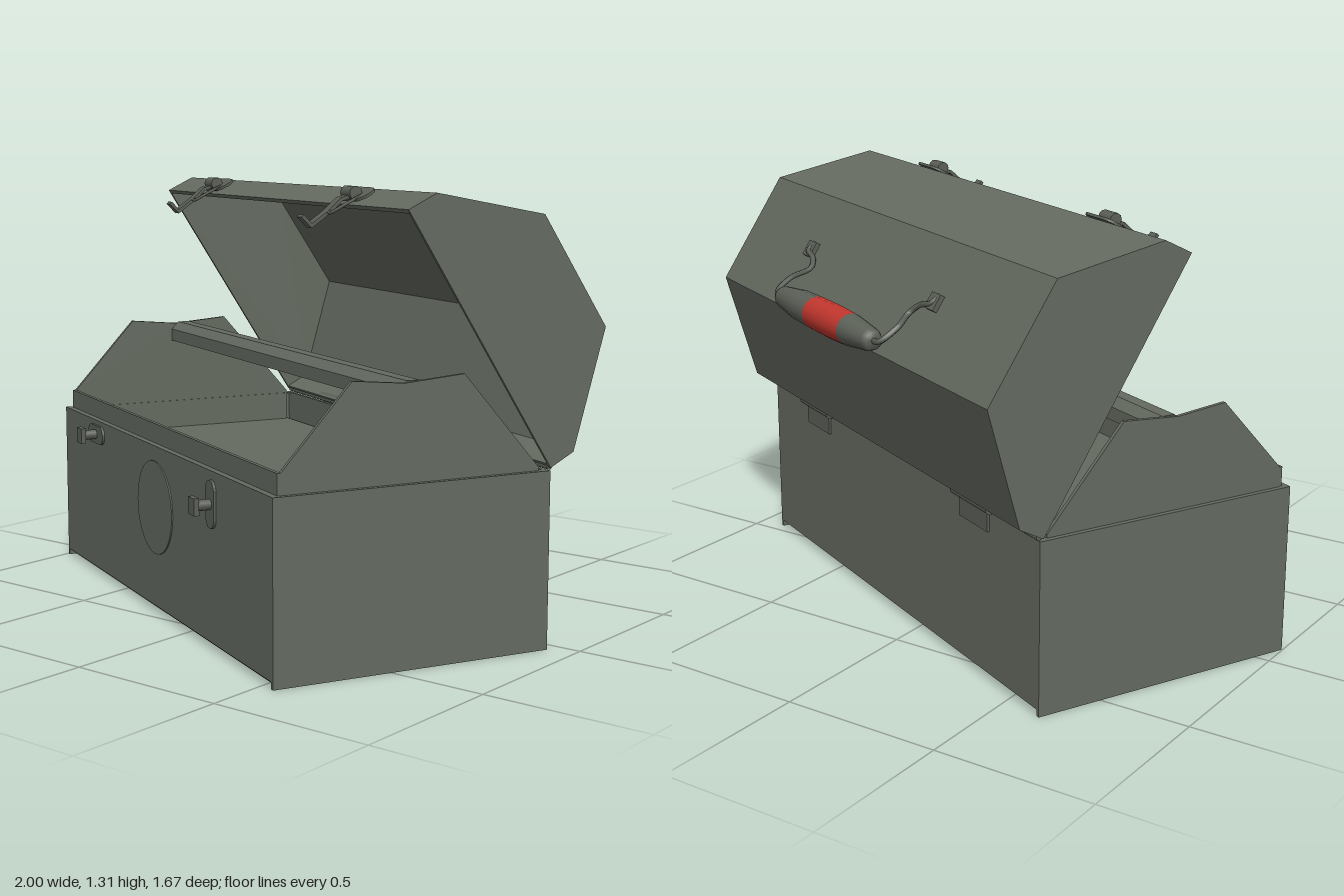
import * as THREE from 'three';

const paint = new THREE.MeshStandardMaterial({ color: 0x656b61 });
paint.name = 'grey green paint';
const steel = new THREE.MeshStandardMaterial({ color: 0x5c6158 });
steel.name = 'dull steel';
const red = new THREE.MeshStandardMaterial({ color: 0xc2372e });
red.name = 'red grip';

const V = (x, y, z) => new THREE.Vector3(x, y, z);

function add(parent, name, geometry, material, x = 0, y = 0, z = 0) {
  const mesh = new THREE.Mesh(geometry, material);
  mesh.name = name;
  mesh.position.set(x, y, z);
  parent.add(mesh);
  return mesh;
}

// Extrude a closed [z, y] outline along x, centred on x = 0
function prism(points, width) {
  const shape = new THREE.Shape(points.map(([z, y]) => new THREE.Vector2(z, y)));
  const g = new THREE.ExtrudeGeometry(shape, { depth: width, bevelEnabled: false });
  return g.translate(0, 0, -width / 2).rotateY(-Math.PI / 2);
}

// Bent sheet metal: an open [z, y] profile thickened to its right-hand side
function sheet(profile, t, width) {
  const normals = profile.slice(1).map(([z, y], i) => {
    const dz = z - profile[i][0], dy = y - profile[i][1], l = Math.hypot(dz, dy);
    return [dy / l, -dz / l];
  });
  const inner = profile.map(([z, y], i) => {
    const a = normals[Math.max(i - 1, 0)], b = normals[Math.min(i, normals.length - 1)];
    const k = t / (1 + a[0] * b[0] + a[1] * b[1]);
    return [z + (a[0] + b[0]) * k, y + (a[1] + b[1]) * k];
  });
  return prism([...profile, ...inner.reverse()], width);
}

const wire = (points, r) =>
  new THREE.TubeGeometry(new THREE.CatmullRomCurve3(points), 28, r, 6);

// Thin stadium-shaped plate facing +z
function ovalPlate(w, h) {
  const r = Math.min(w, h) / 2, s = new THREE.Shape();
  const dx = w / 2 - r, dy = h / 2 - r;
  for (let i = 0; i < 24; i++) {
    const a = ((i + 0.5) / 24) * Math.PI * 2, c = Math.cos(a), n = Math.sin(a);
    const x = c * r + Math.sign(c) * dx, y = n * r + Math.sign(n) * dy;
    i ? s.lineTo(x, y) : s.moveTo(x, y);
  }
  return new THREE.ExtrudeGeometry(s, { depth: 0.008, bevelEnabled: false });
}

function buildBase() {
  const base = new THREE.Group();
  base.name = 'base';
  // Front, floor and back folded from one sheet with chamfered bottom edges
  add(base, 'tub', sheet([[-0.43, 0.52], [-0.43, 0.02], [-0.41, 0.003], [0.41, 0.003],
    [0.43, 0.02], [0.43, 0.52]].reverse(), 0.012, 1.7), paint);
  add(base, 'frontLip', new THREE.BoxGeometry(1.68, 0.2, 0.012), paint, 0, 0.48, 0.404);
  add(base, 'frontLedge', new THREE.BoxGeometry(1.7, 0.006, 0.03), paint, 0, 0.517, 0.415);
  add(base, 'trayFloor', new THREE.BoxGeometry(1.68, 0.01, 0.82), paint, 0, 0.42, 0);
  const endPanel = [[-0.40, 0.38], [0.40, 0.38], [0.40, 0.58], [0.19, 0.81],
    [0.03, 0.795], [-0.155, 0.81], [-0.40, 0.53]];
  for (const s of [-1, 1]) {
    add(base, 'endWall', prism([[-0.43, 0], [0.43, 0], [0.43, 0.52], [-0.43, 0.52]], 0.012),
      paint, s * 0.85);
    add(base, 'raisedEndPanel', prism(endPanel, 0.012), paint, s * 0.836);
    add(base, 'endLedge', new THREE.BoxGeometry(0.03, 0.006, 0.84), paint, s * 0.842, 0.517, 0);
  }
  // Carrying bar across the tray
  add(base, 'trayBar', prism([[-0.045, 0.735], [0.045, 0.735], [0.045, 0.775], [0.02, 0.8],
    [-0.02, 0.8], [-0.045, 0.775]], 1.665), paint);

  // Round badge plate and the two catches on the front
  add(base, 'roundPlate', new THREE.CylinderGeometry(0.144, 0.144, 0.006, 40).rotateX(Math.PI / 2),
    paint, 0, 0.33, 0.431);
  for (const [x, y, w, h] of [[-0.527, 0.475, 0.14, 0.06], [0.447, 0.425, 0.06, 0.14]]) {
    const c = new THREE.Group();
    c.name = 'frontCatch';
    c.position.set(x, y, 0.43);
    add(c, 'catchPlate', ovalPlate(w, h), steel);
    add(c, 'catchStem', new THREE.CylinderGeometry(0.016, 0.016, 0.05, 12).rotateX(Math.PI / 2),
      steel, 0, 0, 0.03);
    add(c, 'catchKnob', new THREE.BoxGeometry(0.045, 0.05, 0.016), steel, 0, 0, 0.056);
    base.add(c);
  }
  return base;
}

function buildLid() {
  const lid = new THREE.Group();
  lid.name = 'lid';
  const profile = [[-0.425, 0.53], [-0.50, 0.57], [-0.60, 0.92], [-0.39, 1.24],
    [-0.05, 1.303], [0.037, 1.26]];
  add(lid, 'lidShell', sheet(profile, 0.012, 1.725), paint);
  for (const s of [-1, 1]) add(lid, 'lidEnd', prism(profile, 0.01), paint, s * 0.86);

  // Draw latches hanging from the lid's front edge
  for (const x of [-0.5, 0.5]) {
    const latch = new THREE.Group();
    latch.name = 'lidLatch';
    latch.position.set(x, 1.285, 0);
    const plate = add(latch, 'latchPlate', ovalPlate(0.14, 0.07), steel, 0, 0, -0.002);
    plate.rotation.x = -1.09;
    add(latch, 'latchPivot', new THREE.CylinderGeometry(0.02, 0.02, 0.06, 10).rotateZ(Math.PI / 2),
      steel, 0, 0.008, 0.02);
    add(latch, 'latchArm', sheet([[0.01, 0.01], [0.06, -0.005], [0.10, -0.04], [0.15, -0.075],
      [0.175, -0.05]], 0.01, 0.032), steel);
    add(latch, 'latchWire', wire([V(0.035, 0, 0.01), V(0.05, -0.02, 0.06), V(0.03, -0.045, 0.1),
      V(-0.01, -0.04, 0.09)], 0.005), steel);
    lid.add(latch);
  }

  // Carrying handle: tapered grip with a red middle, hung on bent wire
  const handle = new THREE.Group();
  handle.name = 'handle';
  const gripPart = (name, points, mat) => add(handle, name, new THREE.LatheGeometry(
    points.map(([x, r]) => new THREE.Vector2(r, x)), 16).rotateZ(-Math.PI / 2), mat, 0, 0.978, -0.64);
  gripPart('gripEnd', [[-0.31, 0], [-0.31, 0.026], [-0.29, 0.034], [-0.165, 0.048]], steel);
  gripPart('gripMiddle', [[-0.165, 0.048], [-0.06, 0.051], [0.06, 0.05]], red);
  gripPart('gripEnd', [[0.06, 0.05], [0.165, 0.048], [0.29, 0.034], [0.31, 0.026], [0.31, 0]], steel);
  for (const s of [-1, 1]) {
    add(handle, 'handleWire', wire([V(s * 0.3, 0.978, -0.64), V(s * 0.345, 0.985, -0.64),
      V(s * 0.355, 1.02, -0.59), V(s * 0.325, 1.05, -0.535), V(s * 0.35, 1.075, -0.515),
      V(s * 0.4, 1.09, -0.505), V(s * 0.405, 1.11, -0.48)], 0.009), steel);
    const lug = add(handle, 'handleLug', new THREE.BoxGeometry(0.05, 0.05, 0.02), steel,
      s * 0.4, 1.09, -0.494);
    lug.rotation.x = 0.58;
  }
  lid.add(handle);
  return lid;
}

function buildHinges() {
  const hinges = new THREE.Group();
  hinges.name = 'hinges';
  add(hinges, 'hingeRod', new THREE.CylinderGeometry(0.009, 0.009, 1.7, 8).rotateZ(Math.PI / 2),
    steel, 0, 0.53, -0.43);
  for (const x of [-0.51, 0.51]) {
    add(hinges, 'hingeLeaf', new THREE.BoxGeometry(0.16, 0.07, 0.008), steel, x, 0.495, -0.434);
    add(hinges, 'hingeBarrel', new THREE.CylinderGeometry(0.016, 0.016, 0.2, 10).rotateZ(Math.PI / 2),
      steel, x, 0.535, -0.44);
  }
  return hinges;
}

export function createModel() {
  const model = new THREE.Group();
  model.name = 'toolbox';
  const box = new THREE.Group();
  box.name = 'openToolbox';
  box.add(buildBase(), buildLid(), buildHinges());
  box.rotation.y = -0.441;
  box.position.set(-0.04, 0, 0.068);
  model.add(box);
  return model;
}
